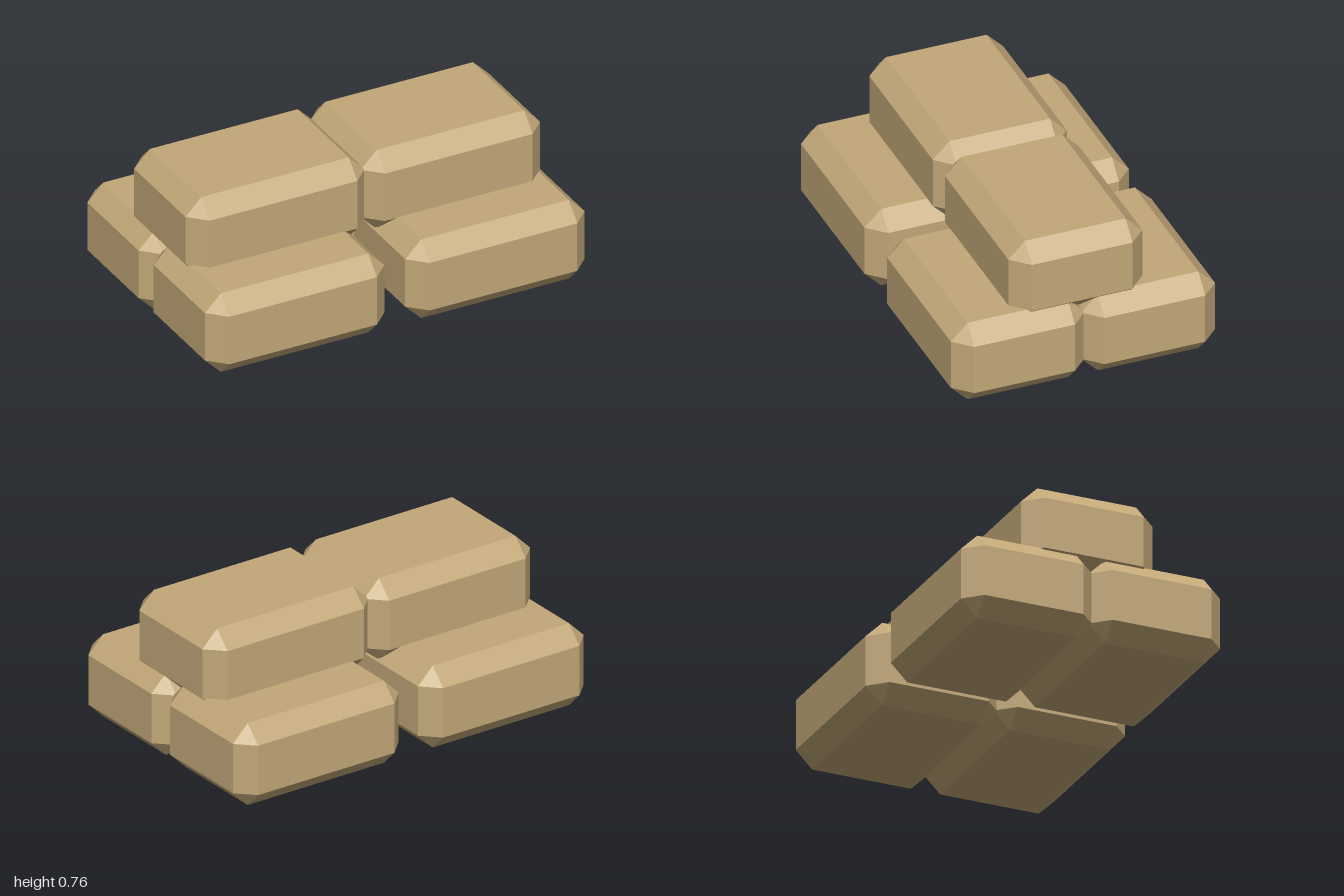
import * as THREE from 'three';
import { ConvexGeometry } from 'three/addons/geometries/ConvexGeometry.js';

// Box with every edge bevelled at 45 degrees and triangular corners
function chamferedBox(w, h, d, c) {
  const half = [w / 2, h / 2, d / 2];
  const points = [];
  for (const sx of [-1, 1]) for (const sy of [-1, 1]) for (const sz of [-1, 1]) {
    for (let axis = 0; axis < 3; axis++) {
      const p = half.map((v, i) => (i === axis ? v : v - c));
      points.push(new THREE.Vector3(sx * p[0], sy * p[1], sz * p[2]));
    }
  }
  return new ConvexGeometry(points);
}

export function createModel() {
  const model = new THREE.Group();
  model.name = 'sandbagStack';

  const sand = new THREE.MeshStandardMaterial({ color: 0xc2a878 });
  sand.name = 'sand';

  const geometry = chamferedBox(0.945, 0.423, 0.673, 0.084);
  const addBag = (name, x, y, z) => {
    const bag = new THREE.Mesh(geometry, sand);
    bag.name = name;
    bag.position.set(x, y, z);
    model.add(bag);
  };

  for (const [side, s] of [['Left', 1], ['Right', -1]]) {
    // Bottom layer: two rows of bags
    addBag(`bottomFront${side}Bag`, s * 0.5275, 0.2115, 0.327);
    addBag(`bottomBack${side}Bag`, s * 0.5275, 0.2115, -0.327);
    // Top layer: one row, sunk slightly into the bottom layer
    addBag(`top${side}Bag`, s * 0.4615, 0.548, 0.011);
  }

  return model;
}
